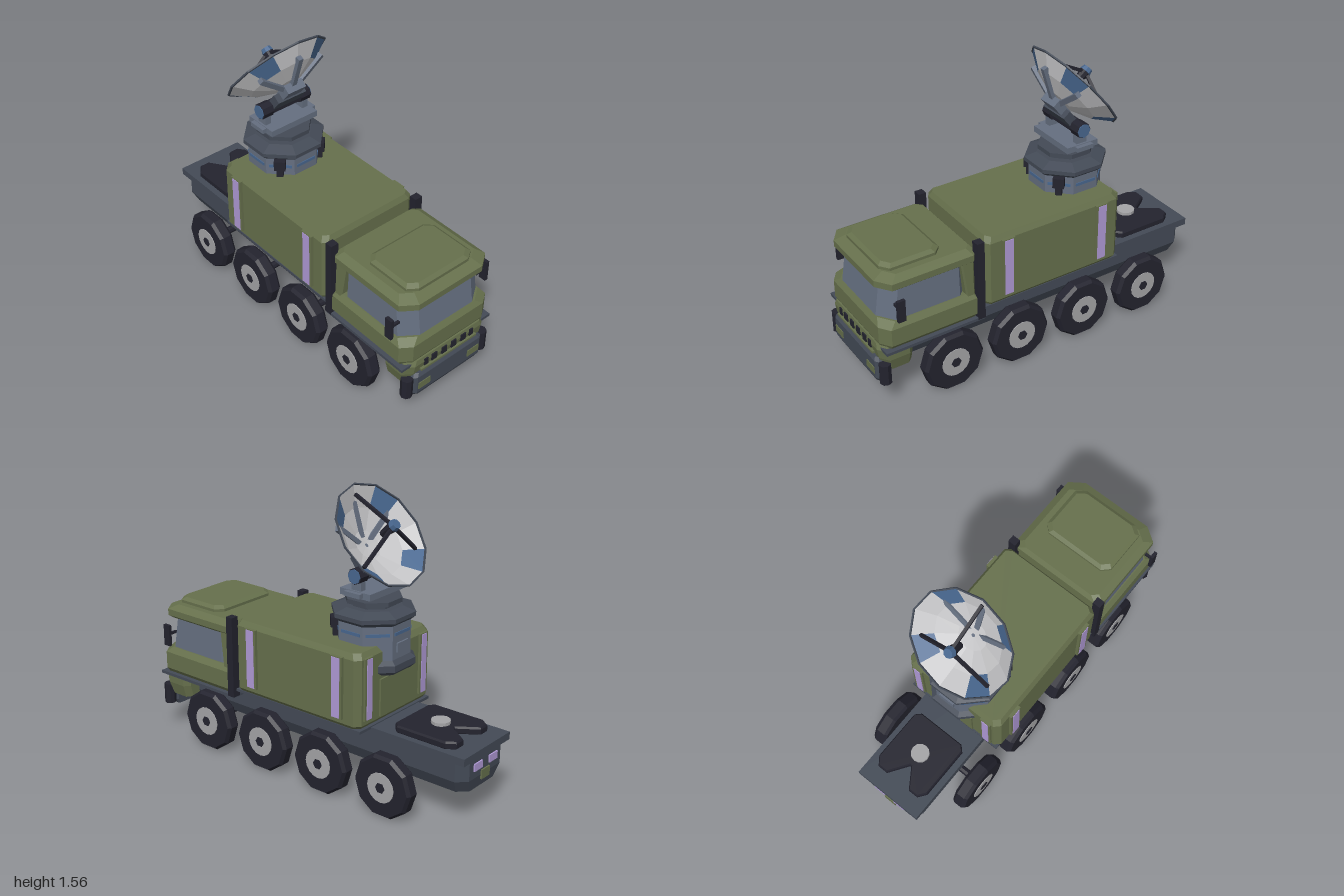
import * as THREE from 'three';

const paint = (name, color, side = THREE.FrontSide) => {
  const m = new THREE.MeshStandardMaterial({ color, side });
  m.name = name;
  return m;
};

export function createModel() {
  const green = paint('olive green', 0x66704c);
  const dark = paint('chassis grey', 0x434a56);
  const black = paint('rubber black', 0x23232e);
  const slate = paint('slate glass', 0x656f80);
  const white = paint('dish white', 0xc4c4c6, THREE.DoubleSide);
  const blue = paint('signal blue', 0x48678f, THREE.DoubleSide);
  const grey = paint('hub grey', 0xa4a4a6);
  const purple = paint('lamp purple', 0xb09ad6);

  const model = new THREE.Group();
  let target = model;
  const V = (x, y, z) => new THREE.Vector3(x, y, z);

  // Faceted mesh added to the current group
  const add = (name, geo, mat, x = 0, y = 0, z = 0) => {
    const g = geo.index ? geo.toNonIndexed() : geo;
    g.computeVertexNormals();
    const m = new THREE.Mesh(g, mat);
    m.name = name;
    m.position.set(x, y, z);
    target.add(m);
    return m;
  };
  const box = (name, mat, w, h, d, x, y, z) => add(name, new THREE.BoxGeometry(w, h, d), mat, x, y, z);
  const pair = (fn) => [-1, 1].forEach(fn);

  // Stack of chamfered rectangles: [y, half width, back z, front z, front chamfer, back chamfer]
  const loft = (name, mat, rows) => {
    const pos = [], idx = [], n = 8, last = (rows.length - 1) * n;
    for (const [y, w, b, f, cf = 0.03, cb = 0.03] of rows) {
      const k = f - cf * 0.7;
      for (const [x, z] of [[cb - w, b], [w - cb, b], [w, b + cb], [w, k],
        [w - cf, f], [cf - w, f], [-w, k], [-w, b + cb]]) pos.push(x, y, z);
    }
    for (let r = 0; r < last; r += n) for (let i = 0; i < n; i++) {
      const a = r + i, c = r + (i + 1) % n;
      idx.push(a, a + n, c + n, a, c + n, c);
    }
    for (let i = 1; i < n - 1; i++) idx.push(0, i, i + 1, last, last + i + 1, last + i);
    const g = new THREE.BufferGeometry();
    g.setAttribute('position', new THREE.Float32BufferAttribute(pos, 3));
    g.setIndex(idx);
    return add(name, g, mat);
  };

  // Turned solid with flat sides; radii are measured to the middle of a side
  const turned = (name, mat, pts, sides, x, y, z) => {
    const k = 1 / Math.cos(Math.PI / sides);
    return add(name, new THREE.LatheGeometry(pts.map(([r, h]) => new THREE.Vector2(r * k, h)), sides, Math.PI / sides), mat, x, y, z);
  };
  const beam = (name, mat, a, b, w, h = w) => {
    const m = box(name, mat, w, h, a.distanceTo(b), 0, 0, 0);
    m.position.copy(a).add(b).multiplyScalar(0.5);
    m.quaternion.setFromUnitVectors(V(0, 0, 1), b.clone().sub(a).normalize());
    return m;
  };

  // Chassis
  loft('chassisFrame', dark, [[0.18, 0.15, -0.97, 0.9, 0.04, 0.05], [0.25, 0.185, -0.985, 0.92, 0.04, 0.05], [0.36, 0.185, -0.985, 0.92, 0.04, 0.05]]);
  box('deckPlate', dark, 0.4, 0.04, 1.4, 0, 0.375, -0.295);
  box('containerBase', dark, 0.58, 0.015, 0.84, 0, 0.393, -0.02);
  box('cabBase', dark, 0.61, 0.016, 0.56, 0, 0.353, 0.69);
  pair((s) => box('rearLamp', purple, 0.07, 0.04, 0.009, s * 0.065, 0.31, -0.988));
  box('rearPlate', green, 0.07, 0.05, 0.009, 0, 0.25, -0.988);

  // Wheels and axles
  for (const z of [0.6, 0.2, -0.2, -0.6]) {
    add('axle', new THREE.CylinderGeometry(0.02, 0.02, 0.54, 8).rotateZ(Math.PI / 2), black, 0, 0.163, z);
    pair((s) => {
      const g = new THREE.Group();
      g.name = 'wheel';
      g.position.set(s * 0.285, 0.163, z);
      g.rotation.z = -s * Math.PI / 2;
      model.add(g);
      target = g;
      turned('tyre', black, [[0, -0.04], [0.15, -0.04], [0.163, -0.025], [0.163, 0.022], [0.15, 0.04], [0, 0.04]], 10, 0, 0, 0)
        .rotation.y = Math.PI / 2;
      add('hub', new THREE.CylinderGeometry(0.08, 0.08, 0.006, 16), grey, 0, 0.041, 0);
      add('hubNut', new THREE.CylinderGeometry(0.028, 0.028, 0.009, 6), black, 0, 0.0435, 0);
      target = model;
    });
  }

  // Cab
  loft('cabLower', green, [[0.361, 0.28, 0.43, 0.965, 0.05], [0.385, 0.297, 0.42, 0.975, 0.06], [0.48, 0.297, 0.42, 0.975, 0.06], [0.51, 0.275, 0.44, 0.955, 0.08]]);
  loft('windowBand', slate, [[0.505, 0.268, 0.5, 0.955, 0.09], [0.695, 0.26, 0.5, 0.925, 0.085]]);
  loft('cabRearPillar', green, [[0.5, 0.285, 0.43, 0.5, 0.01], [0.7, 0.28, 0.43, 0.525, 0.01]]);
  loft('cabRoof', green, [[0.685, 0.272, 0.44, 0.945, 0.08], [0.7, 0.29, 0.43, 0.967, 0.08], [0.735, 0.29, 0.43, 0.967, 0.08], [0.76, 0.25, 0.45, 0.91, 0.06]]);
  loft('roofHatch', green, [[0.755, 0.215, 0.59, 0.915, 0.05, 0.04], [0.775, 0.215, 0.59, 0.915, 0.05, 0.04], [0.79, 0.195, 0.61, 0.895, 0.045, 0.035]]);
  loft('fascia', green, [[0.22, 0.26, 0.8, 0.95, 0.04], [0.29, 0.278, 0.8, 0.975, 0.05], [0.345, 0.278, 0.8, 0.985, 0.05], [0.375, 0.265, 0.8, 0.98, 0.05]]);
  for (const x of [0.033, 0.1, 0.155]) pair((s) =>
    box('grilleSlot', black, x > 0.15 ? 0.025 : 0.035, 0.04, 0.008, s * x, 0.341, 0.985));
  box('grilleSill', green, 0.38, 0.012, 0.02, 0, 0.305, 0.982);
  loft('bumper', dark, [[0.14, 0.22, 0.93, 0.985, 0.02, 0.01], [0.165, 0.235, 0.93, 0.996, 0.02, 0.01], [0.27, 0.235, 0.93, 0.996, 0.02, 0.01], [0.287, 0.22, 0.93, 0.985, 0.02, 0.01]]);
  pair((s) => {
    add('bumperEnd', new THREE.CylinderGeometry(0.032, 0.032, 0.115, 8), black, s * 0.257, 0.213, 0.962);
    box('headlamp', green, 0.08, 0.04, 0.008, s * 0.17, 0.21, 0.996);
    box('mirrorArm', black, 0.06, 0.014, 0.014, s * 0.29, 0.6, 0.888);
    box('mirror', black, 0.018, 0.12, 0.042, s * 0.322, 0.596, 0.888);
    box('exhaustStack', black, 0.046, 0.45, 0.042, s * 0.283, 0.575, 0.428);
  });
  box('cabCoupling', dark, 0.3, 0.3, 0.06, 0, 0.5, 0.41);

  // Container
  loft('container', green, [[0.4, 0.285, -0.42, 0.385], [0.42, 0.3, -0.435, 0.39], [0.77, 0.3, -0.435, 0.39], [0.8, 0.282, -0.415, 0.375]]);
  pair((s) => {
    for (const z of [0.27, -0.305]) {
      box('sideLampCasing', green, 0.02, 0.33, 0.075, s * 0.306, 0.61, z);
      box('sideLamp', purple, 0.006, 0.32, 0.05, s * 0.316, 0.61, z);
    }
    box('rearLampCasing', green, 0.065, 0.33, 0.015, s * 0.225, 0.61, -0.439);
    box('rearStripLamp', purple, 0.04, 0.32, 0.006, s * 0.225, 0.61, -0.447);
  });
  box('rearDoor', green, 0.26, 0.2, 0.015, 0, 0.53, -0.437);

  // Coupling plate on the rear deck, notched at the back
  const plate = new THREE.Shape([[-0.135, 0.55], [0.135, 0.55], [0.16, 0.575], [0.16, 0.86], [0.13, 0.9], [0.08, 0.9],
    [0.008, 0.795], [-0.008, 0.795], [-0.08, 0.9], [-0.13, 0.9], [-0.16, 0.86], [-0.16, 0.575]].map(([x, y]) => new THREE.Vector2(x, y)));
  add('couplingPlate', new THREE.ExtrudeGeometry(plate, { depth: 0.025, bevelThickness: 0.01, bevelSize: 0.006, bevelSegments: 1 })
    .rotateX(-Math.PI / 2), black, 0, 0.398, 0);
  add('couplingPin', new THREE.CylinderGeometry(0.05, 0.05, 0.02, 12), grey, 0, 0.44, -0.72);

  // Turret
  const tz = -0.29;
  turned('turretDrum', slate, [[0, 0.68], [0.18, 0.68], [0.18, 0.9], [0, 0.9]], 8, 0, 0, tz);
  turned('turretFoot', dark, [[0, 0.645], [0.185, 0.645], [0.205, 0.665], [0.205, 0.7], [0.18, 0.72]], 8, 0, 0, tz);
  turned('turretCollar', dark, [[0, 0.89], [0.17, 0.89], [0.203, 0.92], [0.203, 0.942], [0.142, 0.965], [0, 0.965]], 8, 0, 0, tz);
  turned('turretNeck', dark, [[0.108, 0.96], [0.108, 0.987]], 8, 0, 0, tz);
  turned('turretCap', dark, [[0, 0.984], [0.138, 0.984], [0.138, 1.008], [0, 1.008]], 8, 0, 0, tz);
  for (let i = 0; i < 8; i++) {
    const a = i * Math.PI / 4;
    box('turretStripe', blue, 0.12, 0.016, 0.008, Math.sin(a) * 0.18, 0.853, tz + Math.cos(a) * 0.18).rotation.y = a;
  }
  pair((s) => {
    box('turretSensor', black, 0.06, 0.055, 0.045, s * 0.137, 0.875, tz + 0.137).rotation.y = s * Math.PI / 4;
    box('sensorStem', black, 0.035, 0.06, 0.03, s * 0.134, 0.825, tz + 0.134).rotation.y = s * Math.PI / 4;
  });
  box('turretPanel', slate, 0.09, 0.05, 0.02, 0, 0.78, tz - 0.18);

  // Dish mount
  box('mountBase', slate, 0.35, 0.024, 0.1, 0, 1.048, tz);
  box('mountTable', slate, 0.3, 0.034, 0.19, 0, 1.046, tz);
  pair((s) => {
    box('mountFork', slate, 0.035, 0.09, 0.06, s * 0.122, 1.1, tz);
    add('trunnion', new THREE.CylinderGeometry(0.042, 0.042, 0.065, 8).rotateZ(Math.PI / 2), black, s * 0.122, 1.138, tz);
    add('trunnionCap', new THREE.CylinderGeometry(0.038, 0.038, 0.006, 8).rotateZ(Math.PI / 2), blue, s * 0.156, 1.138, tz);
  });
  box('trunnionBar', black, 0.2, 0.055, 0.05, 0, 1.14, tz);

  // Dish, opening along its own +y
  const dish = new THREE.Group();
  dish.name = 'dish';
  dish.position.set(0, 1.325, -0.335);
  dish.rotation.x = -0.907;
  model.add(dish);
  target = dish;
  const P = (r, h) => new THREE.Vector2(r, h);
  add('dishBowl', new THREE.LatheGeometry([P(0, -0.118), P(0.08, -0.11), P(0.19, -0.067)], 12), white);
  for (let i = 0; i < 12; i++)
    add('dishPanel', new THREE.LatheGeometry([P(0.19, -0.067), P(0.286, 0)], 1, i * Math.PI / 6, Math.PI / 6), i % 3 === 1 ? blue : white);
  add('dishRim', new THREE.LatheGeometry([P(0.281, -0.006), P(0.289, -0.003), P(0.289, 0.005), P(0.281, 0.005), P(0.281, -0.006)], 12), dark);
  const polar = (deg, r, h) => V(Math.cos(deg * Math.PI / 180) * r, h, Math.sin(deg * Math.PI / 180) * r);
  for (const a of [30, 90, 150]) beam('backRib', slate, polar(a, 0.03, -0.133), polar(a, 0.225, -0.06), 0.028);
  for (const a of [90, 210, 330]) beam('feedStrut', black, polar(a, 0.24, -0.025), V(0, 0.088, 0), 0.016);
  add('feedHorn', new THREE.CylinderGeometry(0.03, 0.018, 0.09, 8), black, 0, 0.05, 0);
  add('feedCap', new THREE.CylinderGeometry(0.026, 0.032, 0.025, 8), blue, 0, 0.1, 0);
  box('backHub', slate, 0.115, 0.05, 0.11, 0, -0.142, 0);
  box('cradle', dark, 0.18, 0.05, 0.13, 0, -0.15, -0.085);

  return model;
}
